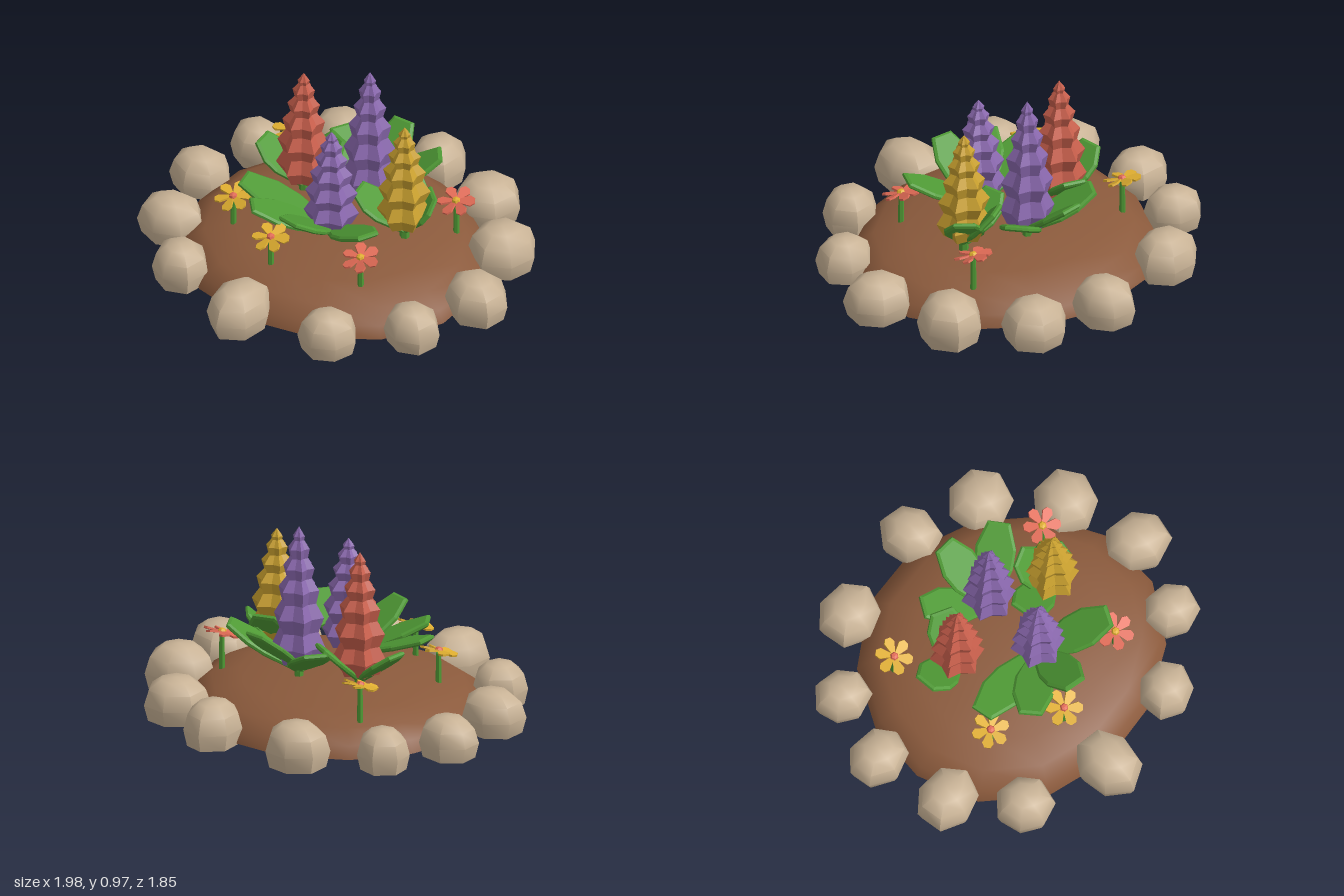
import * as THREE from 'three';
import { mergeVertices, toCreasedNormals } from 'three/addons/utils/BufferGeometryUtils.js';

const mat = (color, flatShading = false) =>
  new THREE.MeshStandardMaterial({ color, flatShading, side: THREE.DoubleSide });
const stoneMat = mat(0xc9b396);
const soilMat = mat(0x8b5a3c);
const leafMat = mat(0x4f9a35, true);
const purple = mat(0x8a68ae, true);
const red = mat(0xc85f4c, true);
const yellow = mat(0xc9a02f, true);
const petalRed = mat(0xe06a55, true);
const petalYellow = mat(0xdfae30, true);

function add(parent, name, geometry, material) {
  const mesh = new THREE.Mesh(geometry, material);
  mesh.name = name;
  parent.add(mesh);
  return mesh;
}

const lathe = (pts, segs) => new THREE.LatheGeometry(pts.map(([r, y]) => new THREE.Vector2(r, y)), segs);

// Welds a lathe, wobbles it by a rule and rounds its shading
function organic(geo, wobble, crease) {
  geo.deleteAttribute('uv');
  geo.deleteAttribute('normal');
  const g = mergeVertices(geo, 1e-4);
  const p = g.attributes.position;
  for (let i = 0; i < p.count; i++) {
    const k = wobble(Math.atan2(p.getZ(i), p.getX(i)), p.getY(i));
    p.setX(i, p.getX(i) * k);
    p.setZ(i, p.getZ(i) * k);
  }
  return toCreasedNormals(g, crease);
}

// Seven-sided boulder with a domed top
function addStone(parent, [x, z, rx, rz, h], i) {
  const profile = [[0, 0], [0.9, 0], [1.03, 0.38], [0.88, 0.74], [0.5, 0.96], [0, 1]];
  const geo = organic(lathe(profile, 7), (a) => 1 + 0.05 * Math.sin(2 * a + i * 1.9), 0.9);
  const stone = add(parent, 'borderStone', geo, stoneMat);
  stone.scale.set(rx, h, rz);
  stone.position.set(x, 0, z);
}

// Upright flower head: a six-pointed star section swelling and shrinking in tiers
function addSpike(parent, [x, z, top, material]) {
  const base = 0.28;
  const rows = [[0, 0], [0.1, 0], [0.135, 0.12], [0.1, 0.23], [0.128, 0.34], [0.088, 0.44], [0.104, 0.54],
    [0.064, 0.62], [0.08, 0.7], [0.045, 0.77], [0.055, 0.84], [0.026, 0.9], [0.03, 0.93], [0, 1]];
  const geo = lathe(rows.map(([r, t]) => [r, t * (top - base)]), 12);
  const p = geo.attributes.position;
  for (let k = 0; k < p.count; k++) {
    if (Math.floor(k / rows.length) % 2) {
      p.setX(k, p.getX(k) * 0.74);
      p.setZ(k, p.getZ(k) * 0.74);
    }
  }
  const plant = new THREE.Group();
  plant.name = 'spikeFlower';
  plant.position.set(x, 0, z);
  add(plant, 'spikeHead', geo, material).position.y = base;
  add(plant, 'spikeStem', new THREE.CylinderGeometry(0.022, 0.025, 0.2, 6), leafMat).position.y = 0.22;
  parent.add(plant);
}

// Broad blunt leaf rising from the foot of a spike to its tip
function addLeaf(parent, from, to) {
  const a = new THREE.Vector3(...from);
  const b = new THREE.Vector3(...to);
  const dir = b.clone().sub(a);
  const len = dir.length();
  const outline = [[-0.03, 0], [0.03, 0], [0.095, 0.45], [0.1, 0.7], [0.055, 1], [-0.055, 1], [-0.1, 0.7], [-0.095, 0.45]];
  const shape = new THREE.Shape(outline.map(([x, y]) => new THREE.Vector2(x * 0.93, y * len)));
  const geo = new THREE.ExtrudeGeometry(shape, {
    depth: 0.012, bevelEnabled: true, bevelThickness: 0.008, bevelSize: 0.012, bevelOffset: -0.006, bevelSegments: 1 });
  geo.translate(0, 0, -0.006);
  const leaf = add(parent, 'leaf', geo, leafMat);
  dir.normalize();
  const side = new THREE.Vector3(0, 1, 0).cross(dir).normalize();
  const normal = side.clone().cross(dir);
  leaf.quaternion.setFromRotationMatrix(new THREE.Matrix4().makeBasis(side, dir, normal));
  leaf.position.copy(a);
}

// Small daisy: thin stem, tilted ring of petals and a button
function addDaisy(parent, [x, z, petal, button, turn]) {
  const daisy = new THREE.Group();
  daisy.name = 'smallFlower';
  daisy.position.set(x, 0, z);
  add(daisy, 'flowerStem', new THREE.CylinderGeometry(0.013, 0.016, 0.2, 6), leafMat).position.y = 0.22;
  const head = new THREE.Group();
  head.name = 'flowerHead';
  head.position.y = 0.325;
  head.rotation.x = 0.28;
  const shape = new THREE.Shape([[0.008, -0.008], [0.07, -0.028], [0.092, -0.014], [0.092, 0.014], [0.07, 0.028],
    [0.008, 0.008]].map(([u, v]) => new THREE.Vector2(u, v)));
  for (let i = 0; i < 6; i++) {
    const arm = new THREE.Group();
    arm.rotation.y = turn + (i * Math.PI) / 3;
    const geo = new THREE.ExtrudeGeometry(shape, { depth: 0.01, bevelEnabled: false });
    add(arm, 'petal', geo, petal).rotation.x = -Math.PI / 2 + 0.25;
    head.add(arm);
  }
  const centre = add(head, 'flowerCentre', new THREE.SphereGeometry(0.022, 6, 4), button);
  centre.scale.y = 0.7;
  centre.position.y = 0.01;
  daisy.add(head);
  parent.add(daisy);
}

export function createModel() {
  const model = new THREE.Group();
  model.name = 'flowerBed';

  // Low soil mound
  const soil = [[0, 0.01], [0.77, 0.01], [0.74, 0.07], [0.65, 0.13], [0.5, 0.172], [0.25, 0.205], [0, 0.215]];
  const mound = add(model, 'soilMound', organic(lathe(soil, 14), (a) => 1 + 0.02 * Math.sin(3 * a + 1), 0.8), soilMat);
  mound.scale.z = 0.93;

  // Ring of stones: x, z, half width, half depth, height
  [
    [0.03, -0.77, 0.14, 0.155, 0.22], [0.4, -0.68, 0.155, 0.165, 0.21], [0.7, -0.4, 0.165, 0.16, 0.23],
    [0.83, -0.02, 0.168, 0.145, 0.21], [0.72, 0.35, 0.135, 0.135, 0.2], [0.43, 0.64, 0.14, 0.135, 0.21],
    [-0.03, 0.74, 0.15, 0.175, 0.22], [-0.47, 0.63, 0.138, 0.142, 0.21], [-0.73, 0.36, 0.16, 0.145, 0.21],
    [-0.84, -0.02, 0.16, 0.13, 0.2], [-0.76, -0.37, 0.138, 0.13, 0.2], [-0.46, -0.66, 0.155, 0.155, 0.22],
  ].forEach((s, i) => addStone(model, s, i));

  // Tall flowers: x, z, tip height, colour; each with its leaf tips
  [
    [[0.04, -0.21, 0.975, purple], [[0.02, 0.49, -0.51], [0.3, 0.46, -0.43], [-0.25, 0.42, -0.36]]],
    [[-0.27, -0.09, 0.9, red], [[-0.5, 0.42, -0.06], [-0.2, 0.43, -0.28]]],
    [[0.34, -0.09, 0.85, yellow], [[0.1, 0.4, -0.04], [0.26, 0.45, -0.24], [0.43, 0.42, -0.2]]],
    [[0.06, 0.125, 0.825, purple],
      [[-0.39, 0.4, 0.23], [-0.22, 0.41, 0.39], [0.03, 0.45, 0.43], [0.39, 0.43, 0.27]]],
  ].forEach(([spike, tips]) => {
    addSpike(model, spike);
    tips.forEach((tip) => addLeaf(model, [spike[0], 0.24, spike[1]], tip));
  });

  // Small flowers: x, z, petal colour, centre colour, turn
  [
    [-0.5, -0.29, petalYellow, petalRed, 0.2], [-0.4, 0.3, petalYellow, petalRed, 0.7],
    [-0.06, 0.45, petalYellow, petalRed, 0.4], [0.48, -0.32, petalRed, petalYellow, 0.5],
    [0.385, 0.32, petalRed, petalYellow, 0.1],
  ].forEach((d) => addDaisy(model, d));

  return model;
}
